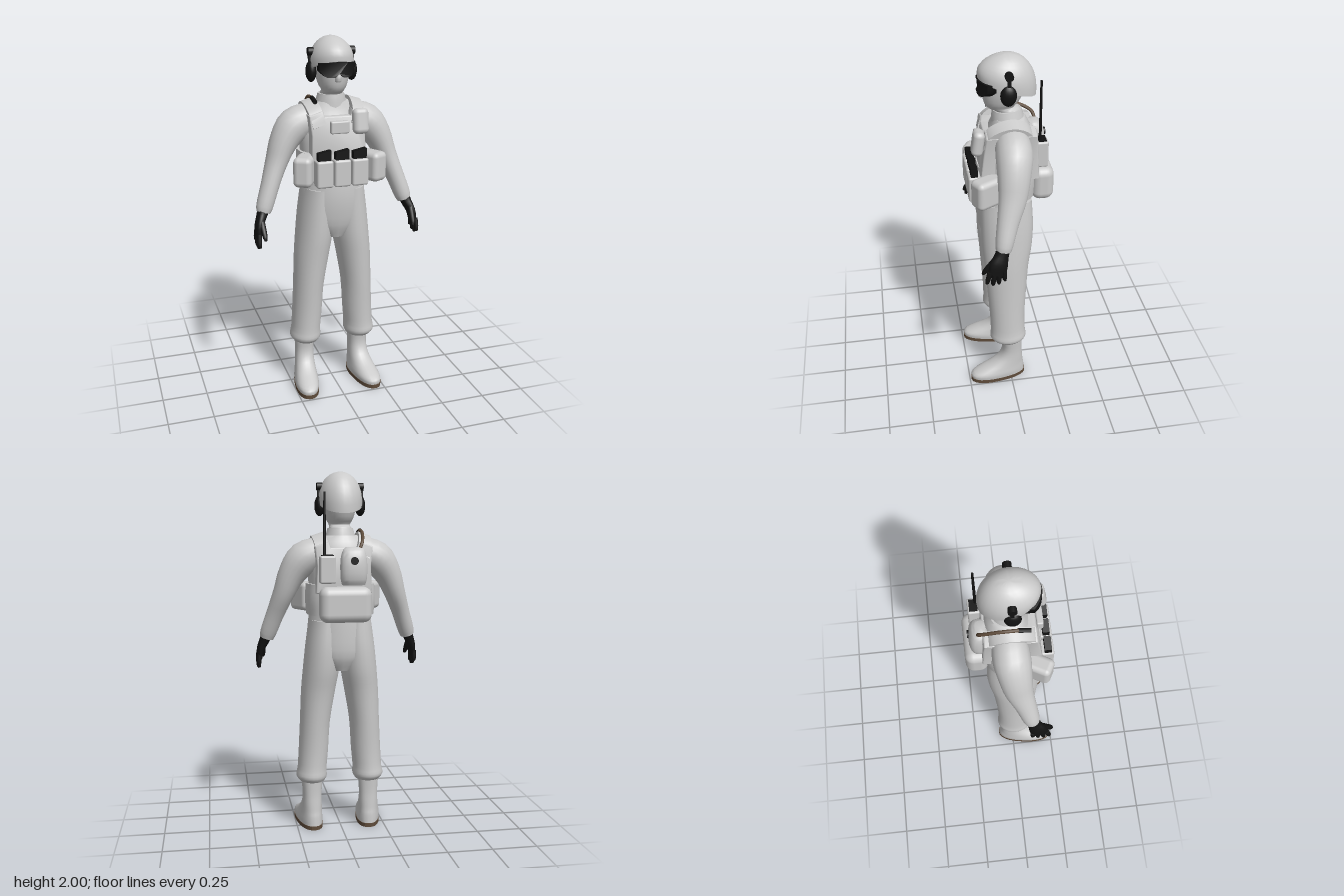
import * as THREE from 'three';
import { toCreasedNormals } from 'three/addons/utils/BufferGeometryUtils.js';
import { RoundedBoxGeometry } from 'three/addons/geometries/RoundedBoxGeometry.js';

const paint = (name, color) => {
  const m = new THREE.MeshStandardMaterial({ color });
  m.name = name;
  return m;
};
const grey = paint('uniform grey', 0xcacaca);
const black = paint('black', 0x121212);
const brown = paint('brown', 0x5f4c3b);

// Closed skin over elliptical sections [x, y, z, rx, rz], listed from low to high
function loft(sections, { seg = 20, steps = 3, power = 1, smooth = true } = {}) {
  const n = sections.length;
  const centre = new THREE.CatmullRomCurve3(sections.map(s => new THREE.Vector3(s[0], s[1], s[2])));
  const size = new THREE.CatmullRomCurve3(sections.map(s => new THREE.Vector3(s[3], s[4], s[1])));
  const up = new THREE.Vector3(0, 1, 0), q = new THREE.Quaternion(), pos = [], idx = [];
  const tilted = sections.some(s => s.length > 5);
  const rows = (n - 1) * steps;
  const soft = v => Math.sign(v) * Math.abs(v) ** power;
  for (let i = 0; i <= rows; i++) {
    const t = i / rows, c = centre.getPoint(t), r = size.getPoint(t);
    q.identity();
    if (tilted) q.setFromUnitVectors(up, centre.getTangent(t));
    for (let j = 0; j < seg; j++) {
      const a = (j / seg) * Math.PI * 2;
      const p = new THREE.Vector3(soft(Math.cos(a)) * r.x, 0, soft(Math.sin(a)) * r.y).applyQuaternion(q).add(c);
      pos.push(p.x, p.y, p.z);
    }
  }
  for (let i = 0; i < rows; i++) for (let j = 0; j < seg; j++) {
    const a = i * seg + j, b = i * seg + (j + 1) % seg;
    idx.push(a, a + seg, b, b, a + seg, b + seg);
  }
  const low = pos.length / 3, high = low + 1, first = sections[0], last = sections[n - 1];
  pos.push(first[0], first[1], first[2], last[0], last[1], last[2]);
  for (let j = 0; j < seg; j++) {
    const k = (j + 1) % seg;
    idx.push(low, j, k, high, rows * seg + k, rows * seg + j);
  }
  const g = new THREE.BufferGeometry();
  g.setAttribute('position', new THREE.Float32BufferAttribute(pos, 3));
  g.setIndex(idx);
  return toCreasedNormals(g, smooth ? 0.95 : 0.5);
}

// Moves every vertex by a rule
function reshape(g, rule) {
  const p = g.attributes.position, v = new THREE.Vector3();
  for (let i = 0; i < p.count; i++) {
    rule(v.fromBufferAttribute(p, i));
    p.setXYZ(i, v.x, v.y, v.z);
  }
  return toCreasedNormals(g, 0.8);
}

export function createModel() {
  const root = new THREE.Group();
  const add = (name, geo, mat = grey, x = 0, y = 0, z = 0) => {
    const m = new THREE.Mesh(geo, mat);
    m.name = name;
    m.position.set(x, y, z);
    root.add(m);
    return m;
  };
  const pouch = (name, w, h, d, r, x, y, z, mat = grey) =>
    add(name, new RoundedBoxGeometry(w, h, d, 3, r), mat, x, y, z);

  // Body
  add('torso', loft([
    [0, 0.92, 0.01, 0.08, 0.11], [0, 1.0, 0.008, 0.175, 0.143], [0, 1.13, 0.015, 0.182, 0.155],
    [0, 1.25, 0.015, 0.172, 0.152], [0, 1.4, 0.005, 0.175, 0.14], [0, 1.53, -0.01, 0.18, 0.13],
    [0, 1.61, -0.02, 0.15, 0.105], [0, 1.66, -0.015, 0.095, 0.085],
  ], { seg: 28 }));
  add('collar', loft([
    [0, 1.63, -0.012, 0.09, 0.09], [0, 1.675, -0.008, 0.077, 0.082], [0, 1.7, -0.006, 0.07, 0.076],
  ], { smooth: false }));
  add('head', loft([
    [0, 1.62, -0.015, 0.062, 0.07], [0, 1.7, -0.005, 0.06, 0.07], [0, 1.718, 0.025, 0.058, 0.072],
    [0, 1.745, 0.022, 0.073, 0.091], [0, 1.8, 0.015, 0.088, 0.108], [0, 1.87, 0.01, 0.093, 0.115],
    [0, 1.93, 0, 0.08, 0.1],
  ], { seg: 24 }));
  add('nose', loft([[0, 1.775, 0.118, 0.016, 0.02], [0, 1.79, 0.122, 0.018, 0.022], [0, 1.84, 0.118, 0.009, 0.014]], { seg: 10 }));

  // Helmet: a dome whose rim drops toward the back
  add('helmet', reshape(new THREE.SphereGeometry(1, 28, 20), v => {
    const rim = 1.83 + 0.052 * v.z;
    const h = Math.max(v.y, 0);
    const bulge = v.y > 0 ? 1 - 0.05 * (1 - h) ** 3 : 0.95;
    v.set(v.x * 0.123 * bulge, rim + (2 - rim) * h ** 0.92, v.z * 0.158 * bulge - 0.006);
  }));

  // Goggles: a flat outline with a nose notch, bent around the face
  const outline = [];
  for (let i = 0; i <= 16; i++) {
    const x = -0.095 + i * 0.190 / 16;
    outline.push(new THREE.Vector2(x, 1.878 - 0.8 * x * x));
  }
  for (let i = 16; i >= 0; i--) {
    const x = -0.095 + i * 0.190 / 16, u = Math.abs(x) / 0.095;
    outline.push(new THREE.Vector2(x, 1.80 + 0.02 * Math.max(0, 1 - u * 4) + 0.03 * Math.max(0, u - 0.7) / 0.3));
  }
  add('goggles', reshape(
    new THREE.ExtrudeGeometry(new THREE.Shape(outline), { depth: 0.045, bevelEnabled: false }),
    v => { v.z += 0.106 - 5 * v.x * v.x; }), black);

  // Vest
  add('cummerbund', loft([[0, 1.23, 0.01, 0.185, 0.16], [0, 1.315, 0.008, 0.192, 0.162], [0, 1.4, 0.002, 0.187, 0.155]],
    { seg: 32, power: 0.75, smooth: false }));
  const panel = new THREE.Shape([[-0.145, 1.36], [0.145, 1.36], [0.14, 1.5], [0.15, 1.6], [0.085, 1.62],
    [0.075, 1.59], [-0.075, 1.59], [-0.085, 1.62], [-0.15, 1.6], [-0.14, 1.5]].map(p => new THREE.Vector2(...p)));
  const panelGeo = () => new THREE.ExtrudeGeometry(panel,
    { depth: 0.06, bevelThickness: 0.008, bevelSize: 0.006, bevelSegments: 2 });
  add('chestPanel', reshape(panelGeo(), v => { v.z += 0.088 - (v.y - 1.36) * 0.13; }));
  add('backPanel', reshape(panelGeo(), v => { v.z -= 0.147 - (v.y - 1.36) * 0.05; }));
  const over = [[0.138, 1.55], [0.115, 1.615], [0.05, 1.657], [-0.03, 1.668], [-0.105, 1.632], [-0.148, 1.55]];
  const arc = new THREE.SplineCurve(over.map(p => new THREE.Vector2(...p))).getPoints(16);
  const inner = arc.map(p => new THREE.Vector2(p.x * 0.75, 1.5 + (p.y - 1.5) * 0.75)).reverse();

  for (const s of [1, -1]) {
    const side = s > 0 ? 'left' : 'right';
    const limb = list => list.map(([x, ...rest]) => [x * s, ...rest]);

    // Shoulder strap
    const strap = new THREE.ExtrudeGeometry(new THREE.Shape([...arc, ...inner]), { depth: 0.072, bevelEnabled: false });
    strap.rotateY(-Math.PI / 2).translate(0.036, 0, 0);
    add(side + 'ShoulderStrap', reshape(strap, v => {
      v.y -= s * 0.3 * v.x;
      v.x += s * (0.115 + (v.y - 1.6) * 0.2);
    }));

    // Arm, from cuff to shoulder
    add(side + 'Sleeve', loft(limb([
      [0.404, 1.092, 0.077, 0.038, 0.040, 1], [0.396, 1.12, 0.072, 0.045, 0.046], [0.355, 1.235, 0.045, 0.05, 0.058],
      [0.31, 1.35, 0.013, 0.06, 0.075], [0.262, 1.46, -0.002, 0.078, 0.088], [0.2, 1.535, -0.012, 0.094, 0.096],
      [0.12, 1.565, -0.015, 0.088, 0.09],
    ])));

    // Glove with four fingers and a thumb
    add(side + 'Glove', loft(limb([
      [0.444, 0.975, 0.118, 0.017, 0.046, 1], [0.436, 1.03, 0.106, 0.022, 0.048],
      [0.417, 1.075, 0.088, 0.028, 0.037], [0.402, 1.112, 0.076, 0.033, 0.035],
    ]), { seg: 14 }), black);
    for (let f = 0; f < 4; f++) {
      const d = (f - 1.5) * 0.025, tip = 0.912 + [0.022, 0.004, 0, 0.012][f];
      add(side + 'Finger', loft(limb([
        [0.445, tip, 0.124 + d * 1.3, 0.007, 0.007, 1], [0.448, tip + 0.015, 0.123 + d * 1.2, 0.012, 0.012],
        [0.446, 0.995, 0.117 + d, 0.014, 0.014],
      ]), { seg: 8 }), black);
    }
    add(side + 'Thumb', loft(limb([
      [0.418, 0.968, 0.188, 0.007, 0.007, 1], [0.42, 0.985, 0.178, 0.013, 0.013], [0.425, 1.05, 0.125, 0.018, 0.02],
    ]), { seg: 8 }), black);

    // Trouser leg with gathered cuff
    add(side + 'TrouserLeg', loft(limb([
      [0.16, 0.275, 0.01, 0.072, 0.085], [0.163, 0.3, 0.012, 0.087, 0.104], [0.16, 0.345, 0.013, 0.083, 0.101],
      [0.152, 0.45, 0.015, 0.084, 0.101], [0.142, 0.62, 0.016, 0.085, 0.111], [0.123, 0.8, 0.015, 0.096, 0.125],
      [0.107, 0.92, 0.01, 0.101, 0.14], [0.096, 1.05, 0.008, 0.098, 0.145], [0.088, 1.2, 0.012, 0.085, 0.14],
    ]), { seg: 24 }));

    // Boot, toe turned slightly out
    const boot = add(side + 'Boot', loft([
      [0, 0.02, 0.077, 0.066, 0.164], [0, 0.045, 0.077, 0.068, 0.162], [0, 0.075, 0.05, 0.063, 0.132],
      [0, 0.1, 0.025, 0.059, 0.102], [0, 0.14, 0, 0.055, 0.073], [0, 0.2, -0.011, 0.053, 0.057],
      [0, 0.3, -0.006, 0.06, 0.062],
    ], { seg: 24, power: 0.85 }), grey, s * 0.165);
    const sole = add(side + 'Sole', loft([[0, 0, 0.077, 0.068, 0.167], [0, 0.022, 0.077, 0.068, 0.167]],
      { seg: 24, steps: 1, power: 0.85, smooth: false }), brown, s * 0.165);
    boot.rotation.y = sole.rotation.y = s * 0.14;

    // Headset
    const cup = add(side + 'EarCup', new THREE.SphereGeometry(1, 18, 12), black, s * 0.112, 1.818, 0.003);
    cup.scale.set(0.028, 0.056, 0.042);
    add(side + 'HeadsetArm', new THREE.BoxGeometry(0.012, 0.07, 0.018), black, s * 0.119, 1.878, 0);
    add(side + 'HeadsetKnob', new THREE.CylinderGeometry(0.022, 0.022, 0.03, 14).rotateZ(Math.PI / 2),
      black, s * 0.113, 1.92, 0);

    // Belt pouch on the hip
    pouch(side + 'HipPouch', 0.1, 0.16, 0.15, 0.028, s * 0.187, 1.32, 0.13).rotation.y = s * 0.5;
  }

  // Magazine pouches across the front
  for (const x of [-0.097, 0, 0.097]) {
    pouch('magazinePouch', 0.09, 0.145, 0.075, 0.012, x, 1.308, 0.18);
    const mag = reshape(new THREE.BoxGeometry(0.072, 0.09, 0.036), v => { if (v.y > 0) v.y += v.x * 0.2; });
    add('magazine', mag, black, x, 1.382, 0.185);
  }
  pouch('chestPouch', 0.1, 0.066, 0.035, 0.008, 0, 1.543, 0.147);
  pouch('shoulderPouch', 0.085, 0.135, 0.06, 0.026, 0.11, 1.572, 0.162).rotation.x = -0.15;

  // Back gear
  pouch('buttPack', 0.28, 0.19, 0.12, 0.045, 0, 1.297, -0.183);
  pouch('radioPouch', 0.085, 0.145, 0.065, 0.01, 0.094, 1.483, -0.172);
  add('radio', new THREE.BoxGeometry(0.064, 0.01, 0.042), black, 0.094, 1.556, -0.174);
  add('antenna', new THREE.CylinderGeometry(0.006, 0.008, 0.335, 8), black, 0.108, 1.72, -0.162);
  add('waterPack', loft([
    [-0.048, 1.4, -0.16, 0.062, 0.035], [-0.048, 1.43, -0.165, 0.07, 0.045], [-0.048, 1.54, -0.165, 0.07, 0.046],
    [-0.05, 1.59, -0.155, 0.055, 0.035], [-0.05, 1.6, -0.15, 0.04, 0.025],
  ], { power: 0.75 }));
  add('waterCap', new THREE.CylinderGeometry(0.021, 0.021, 0.015, 14).rotateX(Math.PI / 2), black, -0.045, 1.53, -0.211);

  // Drinking hose over the right shoulder
  const tube = (name, pts, r, mat) => add(name, new THREE.TubeGeometry(
    new THREE.CatmullRomCurve3(pts.map(p => new THREE.Vector3(...p))), 20, r, 8), mat);
  tube('drinkingHose', [[-0.07, 1.57, -0.17], [-0.095, 1.625, -0.155], [-0.112, 1.675, -0.06], [-0.116, 1.685, 0.035]], 0.009, brown);
  const bite = tube('mouthpiece', [[-0.116, 1.685, 0.03], [-0.116, 1.678, 0.06], [-0.115, 1.67, 0.09]], 0.012, black);
  bite.material.side = THREE.DoubleSide;
  return root;
}
